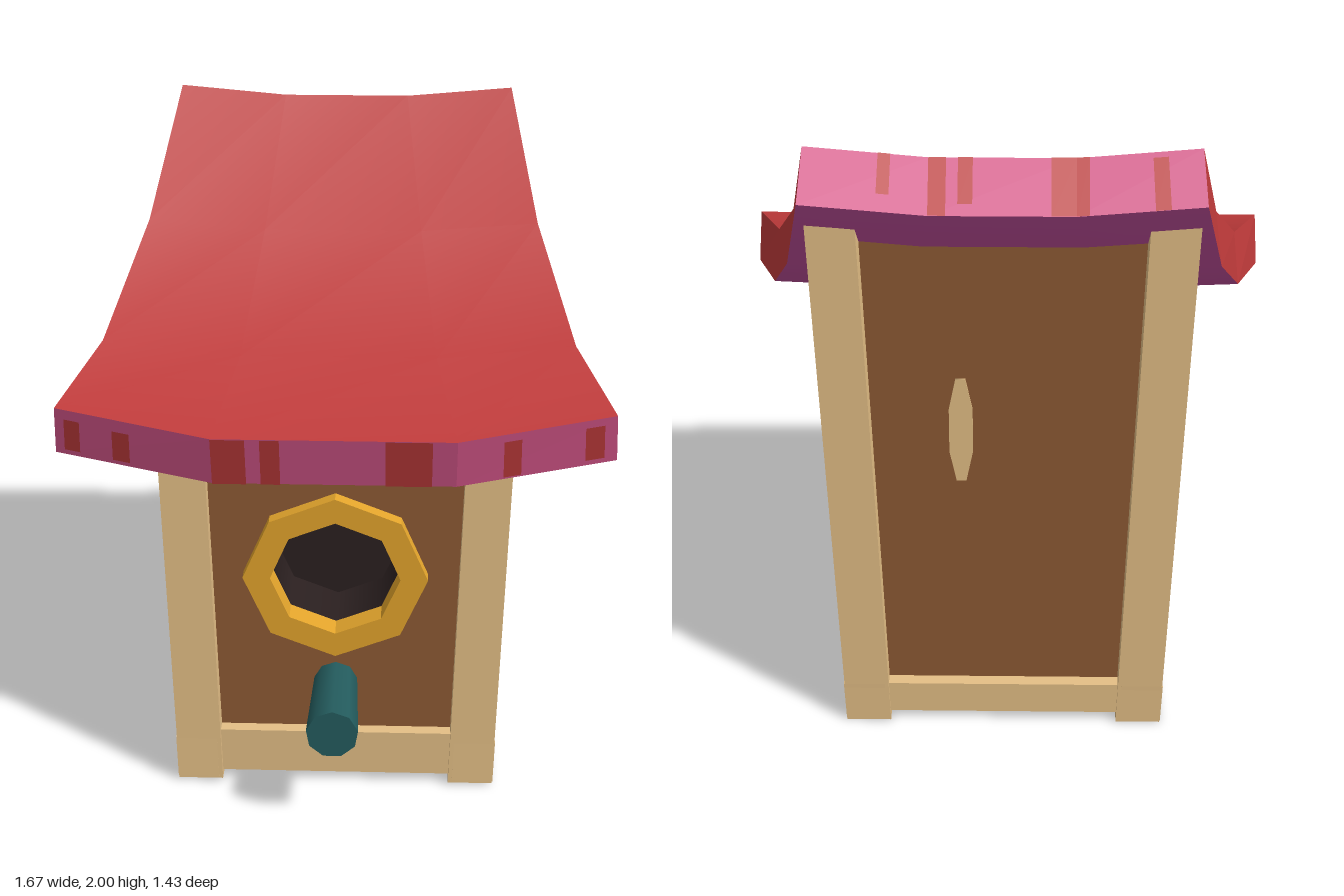
import * as THREE from 'three';
import { mergeVertices } from 'three/addons/utils/BufferGeometryUtils.js';

const FLARE = 0.027; // the walls lean outwards by this much per unit of height

export function createModel() {
  const model = new THREE.Group();
  const mat = (name, color, extra = {}) => {
    const m = new THREE.MeshStandardMaterial({ color, ...extra });
    m.name = name;
    return m;
  };
  const timber = mat('pale timber', 0xe4bf86);
  const wall = mat('brown wall', 0x8e5a34);
  const red = mat('red roof', 0xc03b3b);
  const pink = mat('pink roof end', 0xd6568a);
  const purple = mat('purple roof underside', 0xc4509e);
  const gold = mat('gold ring', 0xe4a52c);
  const dark = mat('dark inside', 0x2b2020, { side: THREE.DoubleSide });
  const teal = mat('teal perch', 0x245c5e);

  const add = (name, geometry, material) => {
    const mesh = new THREE.Mesh(geometry, material);
    mesh.name = name;
    model.add(mesh);
    return mesh;
  };
  const shapeOf = (pts) => new THREE.Shape(pts.map(([x, y]) => new THREE.Vector2(x, y)));
  const extrude = (shape, depth) => new THREE.ExtrudeGeometry(shape, { depth, bevelEnabled: false });

  // Piece cut from a [z, y] outline, on both sides, following the wall's lean
  const sidePiece = (name, pts, outer, depth, material) => {
    for (const s of [1, -1]) {
      const g = extrude(shapeOf(pts), depth).rotateY(-Math.PI / 2);
      g.translate(s > 0 ? outer : depth - outer, 0, 0);
      const p = g.attributes.position;
      for (let i = 0; i < p.count; i++) p.setX(i, p.getX(i) + s * FLARE * p.getY(i));
      g.computeVertexNormals();
      add((s > 0 ? 'left' : 'right') + name, g, material);
    }
  };
  sidePiece('FrontPost', [[0.465, 0.01], [0.45, 1.16], [0.31, 1.22], [0.32, 0.01]], 0.5, 0.14, timber);
  sidePiece('BackPost', [[-0.45, 0.005], [-0.46, 1.64], [-0.6, 1.78], [-0.58, 0]], 0.5, 0.14, timber);
  sidePiece('BaseRail', [[0.467, 0.018], [0.463, 0.16], [-0.582, 0.145], [-0.577, 0.002]], 0.502, 0.13, timber);
  sidePiece('Brace', [[0.33, 1.25], [0.31, 0.97], [-0.31, 0.15], [-0.46, 0.15], [-0.46, 0.19]], 0.485, 0.08, timber);
  sidePiece('Wall', [[0.4, 0.03], [0.4, 1.17], [0.08, 1.25], [-0.35, 1.53], [-0.52, 1.7], [-0.52, 0.03]],
    0.43, 0.03, wall);

  // Octagon with a corner at the top, slightly flattened
  const HOLE_Y = 0.733, SQUASH = 0.955;
  const octagon = (r) => Array.from({ length: 8 }, (_, i) =>
    [r * Math.cos(i * Math.PI / 4), HOLE_Y + SQUASH * r * Math.sin(i * Math.PI / 4)]);

  // Front and back walls, floor and cross rails
  const panel = (top) => shapeOf([[-0.43, 0.03], [0.43, 0.03], [0.43 + FLARE * top, top], [-0.43 - FLARE * top, top]]);
  const front = panel(1.14);
  front.holes.push(shapeOf(octagon(0.25)));
  add('frontWall', extrude(front, 0.03).translate(0, 0, 0.375), wall);
  add('backWall', extrude(panel(1.69), 0.03).translate(0, 0, -0.53), wall);
  add('floor', new THREE.BoxGeometry(0.86, 0.03, 0.94).translate(0, 0.045, -0.07), wall);
  add('frontRail', new THREE.BoxGeometry(0.76, 0.15, 0.06).translate(0, 0.105, 0.415), timber);
  add('backRail', new THREE.BoxGeometry(0.76, 0.11, 0.05).translate(0, 0.085, -0.545), timber);

  // Upright pale mark on the back wall
  const mark = add('backMark', new THREE.CylinderGeometry(1, 1, 0.008, 8)
    .rotateY(Math.PI / 8).rotateX(Math.PI / 2), timber);
  mark.scale.set(0.038, 0.19, 1);
  mark.position.set(0.125, 1.065, -0.532);

  // Entrance ring and dark hollow
  const ring = shapeOf(octagon(0.284));
  ring.holes.push(shapeOf(octagon(0.2)));
  add('entranceRing', extrude(ring, 0.08).translate(0, 0, 0.37), gold);
  add('hollowWall', new THREE.CylinderGeometry(0.202, 0.202, 0.2, 8, 1, true)
    .rotateX(Math.PI / 2).scale(1, SQUASH, 1).translate(0, HOLE_Y, 0.28), dark);
  add('hollowBack', extrude(shapeOf(octagon(0.202)), 0.005).translate(0, 0, 0.178), dark);

  // Perch, wider at its tip
  add('perch', new THREE.CylinderGeometry(0.08, 0.068, 0.325, 9)
    .rotateX(Math.PI / 2).rotateZ(Math.PI).translate(0, 0.345, 0.5525), teal);

  // Roof cross-sections from front to back: [half width, z, y] at the edge
  const topEdge = [[0.826, 0.47, 1.3], [0.724, 0.15, 1.39], [0.62, -0.25, 1.65], [0.54, -0.6, 2]];
  const lowEdge = [[0.836, 0.43, 1.14], [0.738, 0.08, 1.24], [0.635, -0.35, 1.52], [0.55, -0.715, 1.88]];
  const midX = [0.36, 0.3, 0.25, 0.2];
  const midZ = [0.095, 0.03, 0, 0];
  const midY = [-0.05, -0.035, -0.03, -0.03];
  const grid = (edge) => edge.map(([w, z, y], i) => [-w, -midX[i], midX[i], w].map((x, j) =>
    (j % 3 === 0 ? new THREE.Vector3(x, y, z) : new THREE.Vector3(x, y + midY[i], z + midZ[i]))));
  const T = grid(topEdge), B = grid(lowEdge);

  const quads = (list, smooth) => {
    const pts = list.flatMap(([a, b, c, d]) => [a, b, c, a, c, d]);
    let g = new THREE.BufferGeometry().setFromPoints(pts);
    if (smooth) g = mergeVertices(g);
    g.computeVertexNormals();
    return g;
  };
  const tops = [], unders = [], sides = [], ends = [];
  for (let i = 0; i < 3; i++) {
    for (let j = 0; j < 3; j++) {
      tops.push([T[i][j], T[i][j + 1], T[i + 1][j + 1], T[i + 1][j]]);
      unders.push([B[i][j], B[i + 1][j], B[i + 1][j + 1], B[i][j + 1]]);
    }
    sides.push([B[i][3], B[i + 1][3], T[i + 1][3], T[i][3]]);
    sides.push([B[i + 1][0], B[i][0], T[i][0], T[i + 1][0]]);
    ends.push([B[0][i], B[0][i + 1], T[0][i + 1], T[0][i]]);
    ends.push([B[3][i + 1], B[3][i], T[3][i], T[3][i + 1]]);
  }
  add('roofTop', quads(tops, true), red);
  add('roofUnderside', quads(unders, true), purple);
  add('roofSides', quads(sides), red);
  add('roofEnds', quads(ends), pink);

  // Worn red patches on the roof ends: [facet, u0, u1, v0, v1]
  const patches = (name, row, list, offset) => {
    const at = (j, u, v) => B[row][j].clone().lerp(B[row][j + 1], u)
      .lerp(T[row][j].clone().lerp(T[row][j + 1], u), v).add(offset);
    add(name, quads(list.map(([j, u0, u1, v0, v1]) => {
      const q = [at(j, u0, v0), at(j, u1, v0), at(j, u1, v1), at(j, u0, v1)];
      return row === 0 ? q : q.reverse();
    })), red);
  };
  patches('frontPatches', 0, [
    [0, 0.06, 0.16, 0.12, 0.8], [0, 0.37, 0.48, 0.1, 0.75], [1, 0, 0.14, 0, 1], [1, 0.2, 0.28, 0, 1],
    [1, 0.71, 0.9, 0, 1], [2, 0.29, 0.4, 0.05, 0.85], [2, 0.8, 0.92, 0.12, 0.85],
  ], new THREE.Vector3(0, -0.001, 0.003));
  patches('backPatches', 3, [
    [0, 0.28, 0.4, 0, 0.9], [0, 0.9, 1, 0, 1], [1, 0, 0.17, 0, 1], [1, 0.7, 0.8, 0.2, 1],
    [1, 0.88, 1, 0, 1], [2, 0.3, 0.4, 0.3, 1],
  ], new THREE.Vector3(0, 0.002, -0.002));

  return model;
}
